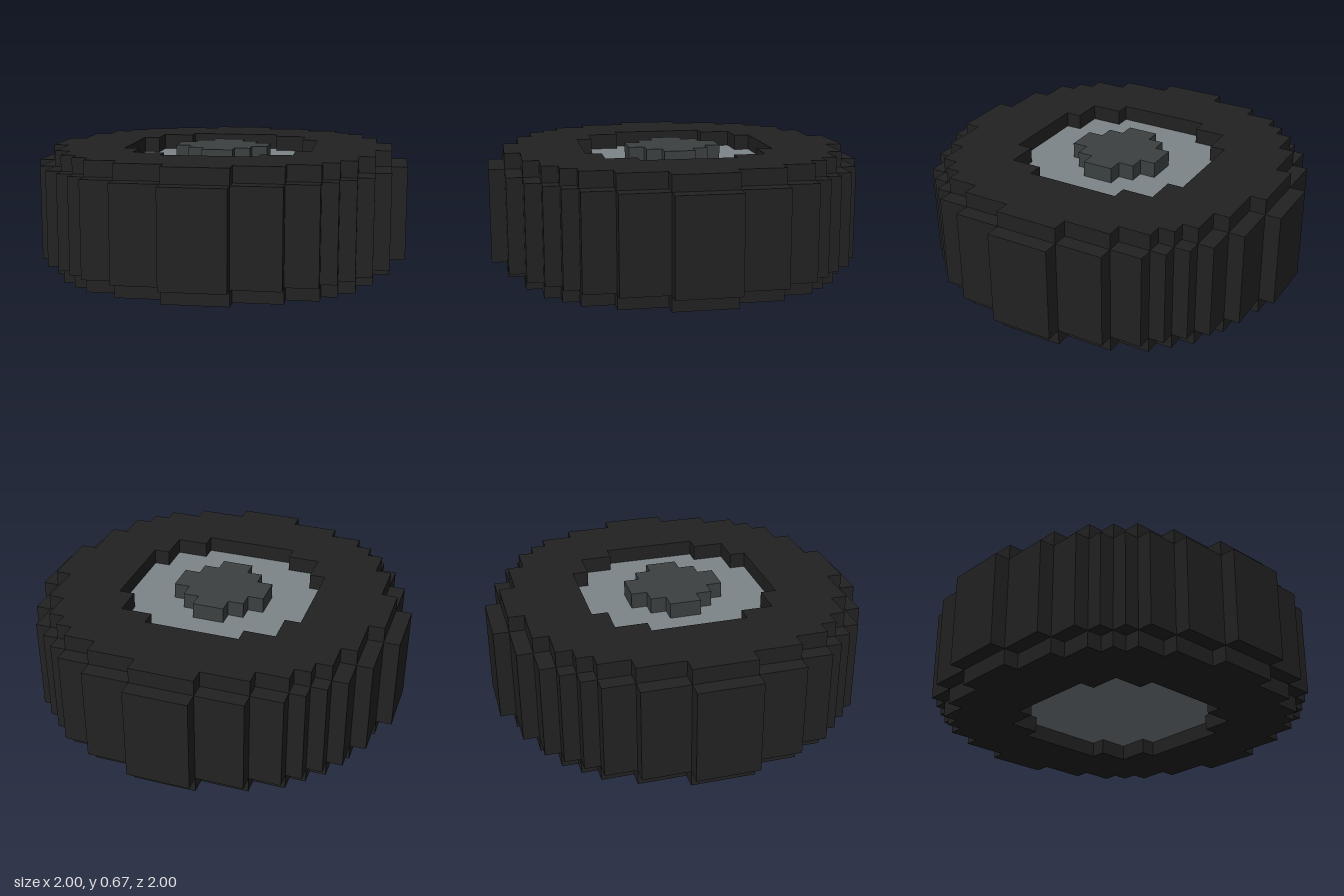
import * as THREE from 'three';

const U = 1 / 12; // one block

// Outer corners of each stepped outline in the first quadrant, in blocks
const TREAD = [[12, 2], [11, 5], [10, 7], [9, 8], [8, 9], [7, 10], [5, 11], [2, 12]];
const SIDEWALL = [[11, 2], [10, 5], [9, 7], [8, 8], [7, 9], [5, 10], [2, 11]];
const RIM = [[6, 3], [5, 5], [3, 6]];
const HUB = [[3, 1], [2, 2], [1, 3]];

// Closed stepped outline: one quadrant turned four times
function outline(steps) {
  let quarter = [];
  steps.forEach(([x, y], i) => {
    if (i > 0) quarter.push([x, steps[i - 1][1]]);
    quarter.push([x, y]);
  });
  const points = [];
  for (let k = 0; k < 4; k++) {
    points.push(...quarter.map(([x, y]) => new THREE.Vector2(x * U, y * U)));
    quarter = quarter.map(([x, y]) => [-y, x]);
  }
  return points;
}

// Upright stepped disc or ring between two heights, in blocks
function layer(name, material, y0, y1, outer, inner) {
  const shape = new THREE.Shape(outline(outer));
  if (inner) shape.holes.push(new THREE.Path(outline(inner)));
  const geometry = new THREE.ExtrudeGeometry(shape, { depth: (y1 - y0) * U, bevelEnabled: false });
  geometry.rotateX(-Math.PI / 2).translate(0, y0 * U, 0);
  const mesh = new THREE.Mesh(geometry, material);
  mesh.name = name;
  return mesh;
}

export function createModel() {
  const paint = (name, color) => new THREE.MeshStandardMaterial({ name, color });
  const rubber = paint('black rubber', 0x222222);
  const metal = paint('grey metal', 0x7d8588);
  const darkMetal = paint('dark metal', 0x3b4040);

  const wheel = new THREE.Group();
  wheel.name = 'wheel';
  wheel.add(
    layer('tread', rubber, 1, 7, TREAD, SIDEWALL),
    layer('sidewall', rubber, 0, 8, SIDEWALL, RIM),
    layer('rim', metal, 1, 7, RIM), // recessed one block on both sides
    layer('hub', darkMetal, 7, 8, HUB),
  );
  return wheel;
}
